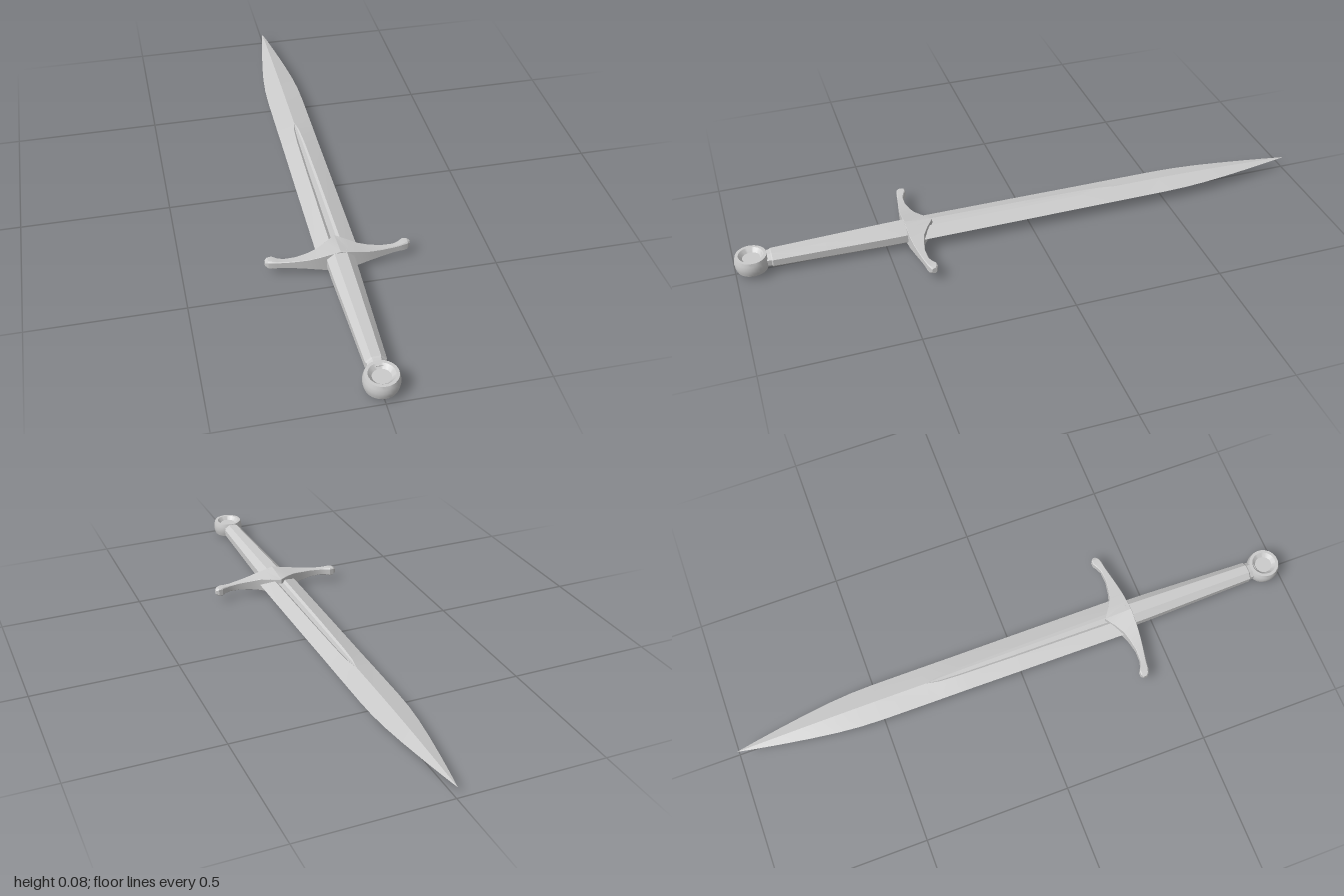
import * as THREE from 'three';
import { toCreasedNormals } from 'three/addons/utils/BufferGeometryUtils.js';

const MID = 0.042; // height of the sword's middle plane
const material = new THREE.MeshStandardMaterial({ color: 0xcccccc });

// Skin a list of closed rings (counter-clockwise about the direction of travel) and cap both ends
function loft(rings, crease) {
  const pos = [];
  const tri = (a, b, c) => {
    const area = b.clone().sub(a).cross(c.clone().sub(a)).length();
    if (area > 1e-9) for (const p of [a, b, c]) pos.push(p.x, p.y, p.z);
  };
  const n = rings[0].length;
  for (let i = 0; i < rings.length - 1; i++) {
    for (let j = 0; j < n; j++) {
      const k = (j + 1) % n;
      const [a, b, c, d] = [rings[i][j], rings[i][k], rings[i + 1][k], rings[i + 1][j]];
      tri(a, b, c);
      tri(a, c, d);
    }
  }
  for (const [ring, start] of [[rings[0], true], [rings[rings.length - 1], false]]) {
    const mid = ring.reduce((s, p) => s.add(p), new THREE.Vector3()).divideScalar(n);
    for (let j = 0; j < n; j++) {
      const a = ring[j], b = ring[(j + 1) % n];
      if (start) tri(mid, b, a);
      else tri(mid, a, b);
    }
  }
  const geo = new THREE.BufferGeometry();
  geo.setAttribute('position', new THREE.Float32BufferAttribute(pos, 3));
  return toCreasedNormals(geo, crease);
}

// Mirror the upper right quarter of a cross-section into a full ring at z
function mirroredRing(quarter, z) {
  const left = quarter.map(([x, y]) => [-x, y]).reverse();
  const top = [...quarter, ...left];
  const bottom = top.map(([x, y]) => [x, -y]).reverse();
  return [...top, ...bottom].map(([x, y]) => new THREE.Vector3(x, MID + y, z));
}

function add(group, name, geometry) {
  const mesh = new THREE.Mesh(geometry, material);
  mesh.name = name;
  group.add(mesh);
  return mesh;
}

// Diamond-section blade with a fuller: z, half width, half thickness, fuller half width
function bladeGeometry() {
  const stations = [
    [-1, 0.0005, 0.0005, 0], [-0.93, 0.014, 0.0035, 0], [-0.85, 0.028, 0.007, 0],
    [-0.75, 0.044, 0.011, 0], [-0.66, 0.056, 0.0135, 0], [-0.58, 0.063, 0.015, 0],
    [-0.5, 0.0655, 0.016, 0], [-0.33, 0.066, 0.0168, 0], [-0.28, 0.066, 0.0195, 0.009],
    [-0.2, 0.066, 0.0215, 0.013], [0, 0.067, 0.0235, 0.016], [0.4, 0.068, 0.0265, 0.019],
  ];
  return loft(stations.map(([z, w, h, f]) => {
    const rim = h * (1 - f / w);
    const floor = rim - f * 0.4;
    return mirroredRing([[w, 0], [f, rim], [f * 0.5, floor], [0, floor]], z);
  }), 0.2);
}

// Eight-sided tapering grip with a narrow neck: z, half width, half height
function gripGeometry() {
  const stations = [
    [0.42, 0.045, 0.035], [0.5, 0.044, 0.034], [0.7, 0.038, 0.031],
    [0.878, 0.033, 0.028], [0.882, 0.029, 0.0255], [0.91, 0.028, 0.022],
  ];
  return loft(stations.map(([z, w, h]) => mirroredRing([[w, h * 0.4], [w * 0.45, h]], z)), 0.3);
}

// Cross-guard, symmetric in x: x, back z, front z, half height at back, half height at front
function guardGeometry() {
  const half = [
    [0, 0.335, 0.432, 0.030, 0.040], [0.035, 0.360, 0.431, 0.027, 0.0327],
    [0.068, 0.380, 0.430, 0.022, 0.0258], [0.1, 0.389, 0.427, 0.017, 0.019],
    [0.14, 0.396, 0.421, 0.0135, 0.0145], [0.18, 0.394, 0.414, 0.0115, 0.012],
    [0.2, 0.386, 0.411, 0.0125, 0.013], [0.215, 0.377, 0.409, 0.015, 0.015],
    [0.229, 0.377, 0.405, 0.0145, 0.0145], [0.238, 0.383, 0.398, 0.010, 0.010],
  ];
  const mirrored = half.slice(1).reverse().map(([x, ...rest]) => [-x, ...rest]);
  return loft([...mirrored, ...half].map(([x, zb, zf, hb, hf]) => {
    const c = 0.001 + 0.0035 * (x / 0.238) ** 4; // bevel, growing toward the ends
    const section = [
      [hb, zb + c], [hf, zf - c], [hf - c, zf], [-(hf - c), zf],
      [-hf, zf - c], [-hb, zb + c], [-(hb - c), zb], [hb - c, zb],
    ];
    // listed from the top face forward, which is counter-clockwise about -x
    return section.reverse().map(([y, z]) => new THREE.Vector3(x, MID + y, z)).reverse();
  }), 0.35);
}

// Round pommel with a bulging wall and a dished recess on both faces
function pommelGeometry() {
  const upper = [[0.0545, 0.014], [0.051, 0.0255], [0.041, 0.0255], [0.029, 0.013], [0, 0.013]];
  const lower = upper.map(([r, y]) => [r, -y]).reverse();
  const profile = [...lower, [0.0565, 0], ...upper].map(([r, y]) => new THREE.Vector2(r, y));
  return toCreasedNormals(new THREE.LatheGeometry(profile, 32), 0.5);
}

export function createModel() {
  const sword = new THREE.Group();
  sword.name = 'sword';
  add(sword, 'blade', bladeGeometry());
  add(sword, 'crossGuard', guardGeometry());
  add(sword, 'grip', gripGeometry());
  add(sword, 'pommel', pommelGeometry()).position.set(0, MID + 0.001, 0.9435);
  return sword;
}
